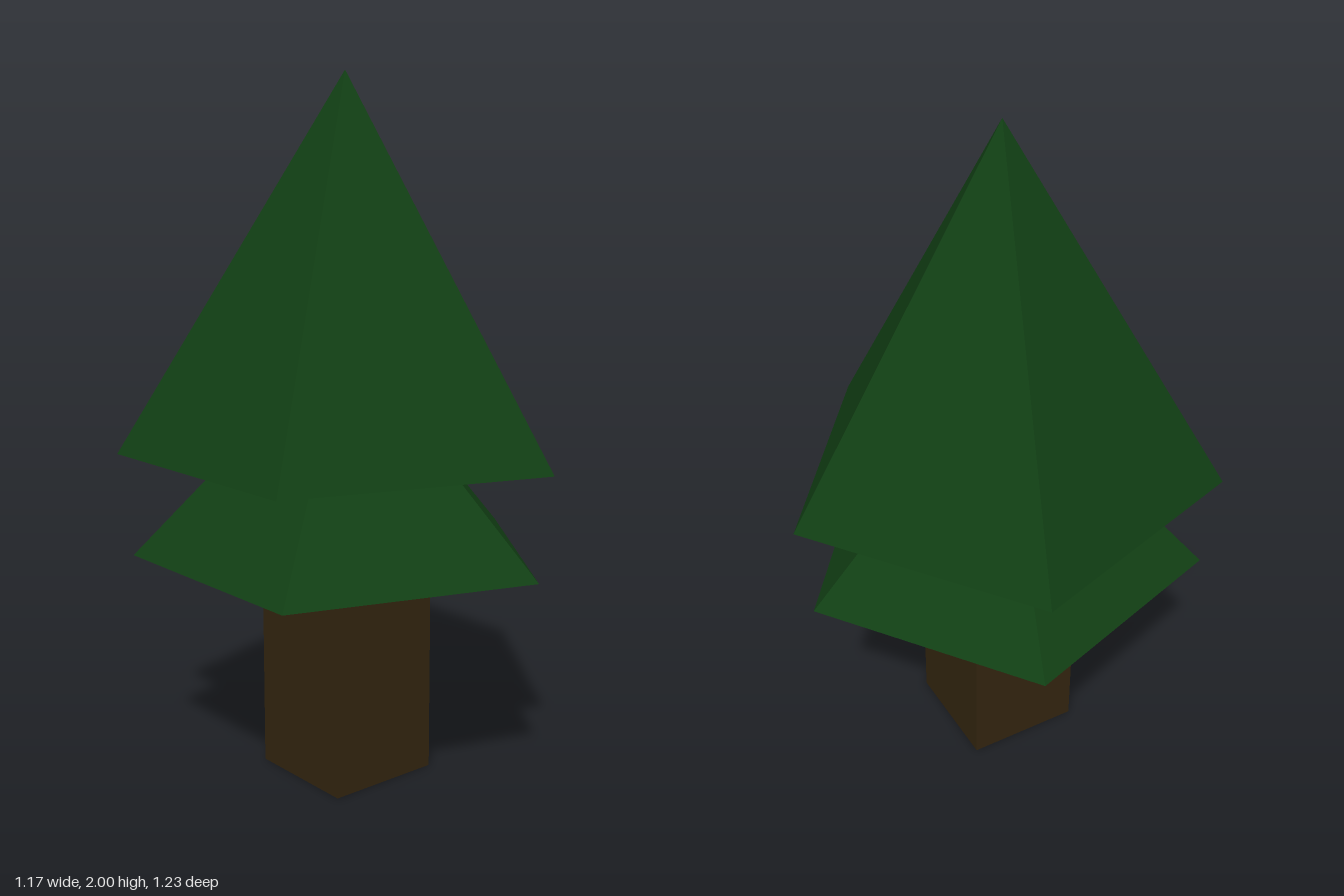
import * as THREE from 'three';

const AXIS_X = -0.062; // the five-sided crown is centred by its bounds, so its axis sits off x = 0

export function createModel() {
  const tree = new THREE.Group();
  tree.name = 'tree';

  const leaf = new THREE.MeshStandardMaterial({ color: 0x113f14, flatShading: true });
  const bark = new THREE.MeshStandardMaterial({ color: 0x33250f, flatShading: true });

  const addPart = (name, geometry, material, bottom, height) => {
    const mesh = new THREE.Mesh(geometry, material);
    mesh.name = name;
    mesh.position.set(AXIS_X, bottom + height / 2, 0);
    tree.add(mesh);
  };

  // Five-sided foliage tier with one corner pointing to +x
  const addTier = (name, radius, bottom, top) => {
    const height = top - bottom;
    const cone = new THREE.ConeGeometry(radius, height, 5, 1, false, Math.PI / 2);
    addPart(name, cone, leaf, bottom, height);
  };

  // Square trunk
  addPart('trunk', new THREE.BoxGeometry(0.346, 0.65, 0.346), bark, 0, 0.65);

  // Foliage
  addTier('lowerFoliage', 0.61, 0.648, 1.28);
  addTier('upperFoliage', 0.647, 0.944, 2);

  return tree;
}
